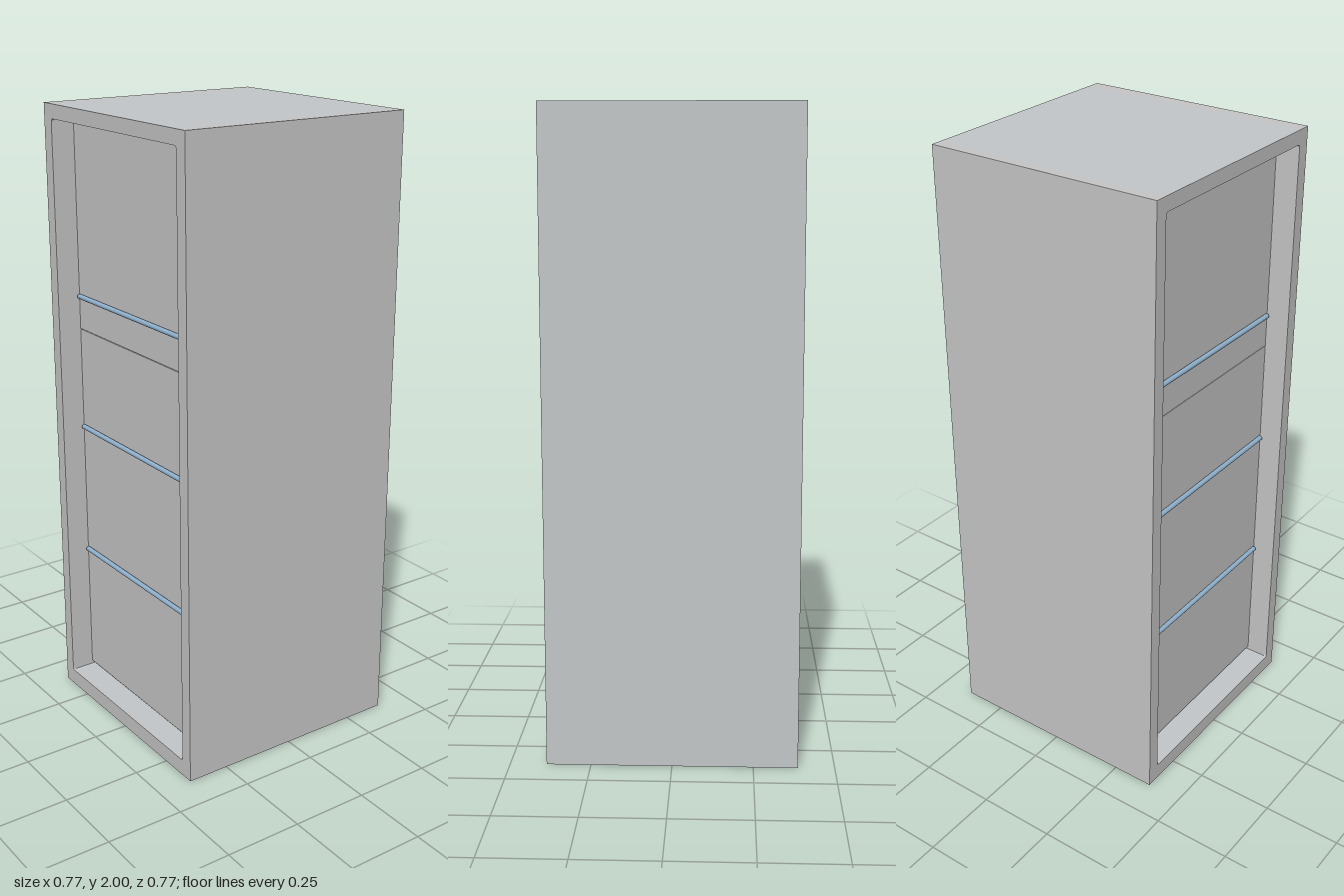
import * as THREE from 'three';

export function createModel() {
  const group = new THREE.Group();
  group.name = 'cabinet';
  const grey = new THREE.MeshStandardMaterial({ name: 'light grey', color: 0xc6c6c6 });
  const cool = new THREE.MeshStandardMaterial({ name: 'cool grey', color: 0xc3c7c9 });
  const blue = new THREE.MeshStandardMaterial({ name: 'steel blue', color: 0x8fb0cc });

  const W = 0.387, H = 2, D = 0.387;      // half width, height, half depth
  const IN = 0.344, Y0 = 0.053, Y1 = 1.955; // opening
  const DOOR = 0.31;                      // plane of the recessed fronts
  const SKIN = 0.008;

  function add(name, geometry, material) {
    const mesh = new THREE.Mesh(geometry, material);
    mesh.name = name;
    group.add(mesh);
    return mesh;
  }
  // Box given by its limits on each axis
  function slab(name, x0, x1, y0, y1, z0, z1, material) {
    const mesh = add(name, new THREE.BoxGeometry(x1 - x0, y1 - y0, z1 - z0), material);
    mesh.position.set((x0 + x1) / 2, (y0 + y1) / 2, (z0 + z1) / 2);
    return mesh;
  }

  // Carcass: side walls, top and bottom boards, back and inner body
  slab('rightWall', -W, -IN, 0, H, -D + SKIN, D - SKIN, grey);
  slab('leftWall', IN, W, 0, H, -D + SKIN, D - SKIN, grey);
  slab('topBoard', -IN, IN, Y1, H, -D + SKIN, D - SKIN, cool);
  slab('bottomBoard', -IN, IN, 0, Y0, -D + SKIN, D - SKIN, cool);
  slab('backPanel', -W, W, 0, H, -D, -D + SKIN, cool);
  slab('innerBody', -IN, IN, Y0, Y1, -D + SKIN, DOOR - 0.01, grey);

  // Face frame with a slightly rounded opening
  const frame = new THREE.Shape([
    new THREE.Vector2(-W, 0), new THREE.Vector2(W, 0),
    new THREE.Vector2(W, H), new THREE.Vector2(-W, H),
  ]);
  const r = 0.01;
  const hole = new THREE.Path();
  hole.moveTo(-IN + r, Y0);
  hole.lineTo(IN - r, Y0);
  hole.quadraticCurveTo(IN, Y0, IN, Y0 + r);
  hole.lineTo(IN, Y1 - r);
  hole.quadraticCurveTo(IN, Y1, IN - r, Y1);
  hole.lineTo(-IN + r, Y1);
  hole.quadraticCurveTo(-IN, Y1, -IN, Y1 - r);
  hole.lineTo(-IN, Y0 + r);
  hole.quadraticCurveTo(-IN, Y0, -IN + r, Y0);
  frame.holes.push(hole);
  add('faceFrame', new THREE.ExtrudeGeometry(frame, { depth: SKIN, bevelEnabled: false, curveSegments: 4 }), grey)
    .position.z = D - SKIN;

  // Recessed upper and lower fronts
  slab('lowerFront', -IN, IN, 0.065, 1.279, DOOR - 0.01, DOOR, grey);
  slab('upperFront', -IN, IN, 1.281, 1.945, DOOR - 0.01, DOOR, grey);

  // Horizontal rods
  for (const y of [0.505, 0.948, 1.391]) {
    const rod = add('rod', new THREE.CylinderGeometry(0.008, 0.008, 0.664, 16), blue);
    rod.rotation.z = Math.PI / 2;
    rod.position.set(0, y, DOOR + 0.007);
  }
  return group;
}
